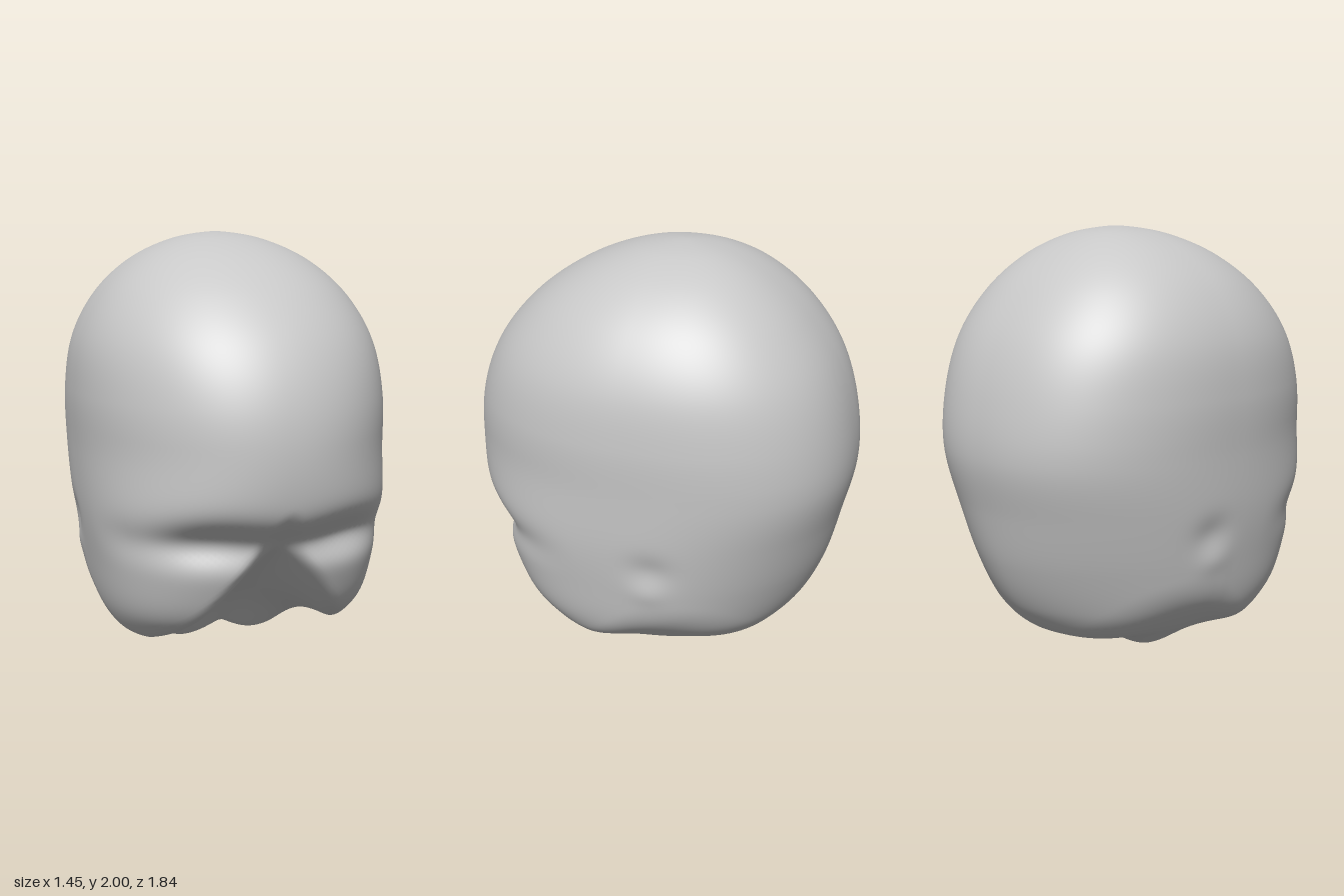
import * as THREE from 'three';
import { mergeVertices } from 'three/addons/utils/BufferGeometryUtils.js';

// Section sizes at heights y = 1 - cos(PI * k / 12), from base to crown
const WIDTH = [0.46, 0.5, 0.57, 0.64, 0.68, 0.71, 0.72, 0.725, 0.69, 0.585, 0.42, 0.21, 0];
const FRONT = [0.34, 0.38, 0.47, 0.65, 0.755, 0.875, 0.92, 0.9, 0.805, 0.635, 0.41, 0.16, -0.08];
const BACK = [-0.42, -0.47, -0.57, -0.71, -0.805, -0.865, -0.915, -0.89, -0.81, -0.67, -0.49, -0.29, -0.08];

const { clamp, smoothstep, lerp } = THREE.MathUtils;
const bell = (d, size) => Math.exp(-((d / size) ** 2));

// Smooth lookup in a section table
function sample(table, y) {
  const u = (Math.acos(clamp(1 - y, -1, 1)) / Math.PI) * 12;
  const i = Math.min(Math.floor(u), 11), t = u - i;
  const at = (k) => table[clamp(k, 0, 12)];
  const a = at(i), b = at(i + 1);
  const ma = (b - at(i - 1)) / 2, mb = (at(i + 2) - a) / 2;
  const t2 = t * t, t3 = t2 * t;
  return (2 * t3 - 3 * t2 + 1) * a + (t3 - 2 * t2 + t) * ma + (3 * t2 - 2 * t3) * b + (t3 - t2) * mb;
}

// Height of the underside: nasal wedge between the cheeks, two base knobs, hollows below the ears
function underside(ax, z) {
  const wedge = Math.max(0, 1 - (Math.sqrt(ax * ax + 0.004) - 0.063) / 0.41);
  return 0.13
    + 0.52 * clamp(z / 0.74, 0, 1.2) * wedge
    - 0.13 * bell(ax - 0.19, 0.22) * bell(z + 0.08, 0.19)
    + 0.08 * bell(ax - 0.6, 0.22) * bell(z + 0.2, 0.28);
}

// Negative inside the head, positive outside
function field(x, y, z) {
  const ax = Math.abs(x);
  const w = Math.max(sample(WIDTH, y), 0.001);
  const zf = sample(FRONT, y), zb = sample(BACK, y);
  const depth = Math.max((zf - zb) / 2, 0.001);
  const dz = z - (zf + zb) / 2;
  // Square cheeks in front, tapered nape behind, full cranium above
  const rise = smoothstep(y, 0.3, 1.1);
  const n = dz > 0 ? lerp(2.8, 2.1, rise) : lerp(1.8, 2.35, rise);
  const ring = (ax / w) ** n + (Math.abs(dz) / depth) ** n;
  let wall = 0.8 * (ring ** (1 / n) - 1);
  if (y > 2) wall = Math.max(wall, y - 2);

  // Brow notch and eye hollows
  if (z > 0) {
    const face = smoothstep(z, 0.2, 0.5);
    wall += 0.06 * face * bell(y - 0.65, 0.09) * bell(ax, 0.5);
    wall += 0.05 * face * bell(y - 0.68, 0.1) * bell(ax - 0.32, 0.2);
  }
  // Ear hollow with a small knob under it
  if (ax > 0.4) {
    wall += 0.02 * bell(y - 0.65, 0.08) * bell(z + 0.14, 0.1);
    wall -= 0.008 * bell(y - 0.52, 0.06) * bell(z + 0.13, 0.08);
  }

  // Rounded join of wall and underside, softer towards the rear sides
  const base = underside(ax, z) - y;
  const k = 0.08 + 0.17 * smoothstep(ax, 0.2, 0.6) * (1 - smoothstep(z, -0.1, 0.25));
  const h = Math.max(k - Math.abs(wall - base), 0) / k;
  return Math.max(wall, base) + (h * h * k) / 4;
}

function headGeometry() {
  let geometry = new THREE.IcosahedronGeometry(1, 50);
  geometry.deleteAttribute('uv');
  geometry.deleteAttribute('normal');
  geometry = mergeVertices(geometry, 1e-5);
  const position = geometry.attributes.position;
  const d = new THREE.Vector3();
  // Push each vertex out from the middle until it meets the surface
  for (let i = 0; i < position.count; i++) {
    d.fromBufferAttribute(position, i).normalize();
    let near = 0.05, far = 1.4;
    for (let s = 0; s < 24; s++) {
      const r = (near + far) / 2;
      if (field(d.x * r, 1 + d.y * r, d.z * r) < 0) near = r;
      else far = r;
    }
    position.setXYZ(i, d.x * near, 1 + d.y * near, d.z * near);
  }
  geometry.computeVertexNormals();
  return geometry;
}

export function createModel() {
  const model = new THREE.Group();
  model.name = 'head';
  const grey = new THREE.MeshStandardMaterial({ color: 0xc8c8c8 });
  grey.name = 'plain grey';
  const skull = new THREE.Mesh(headGeometry(), grey);
  skull.name = 'skull';
  model.add(skull);
  return model;
}
